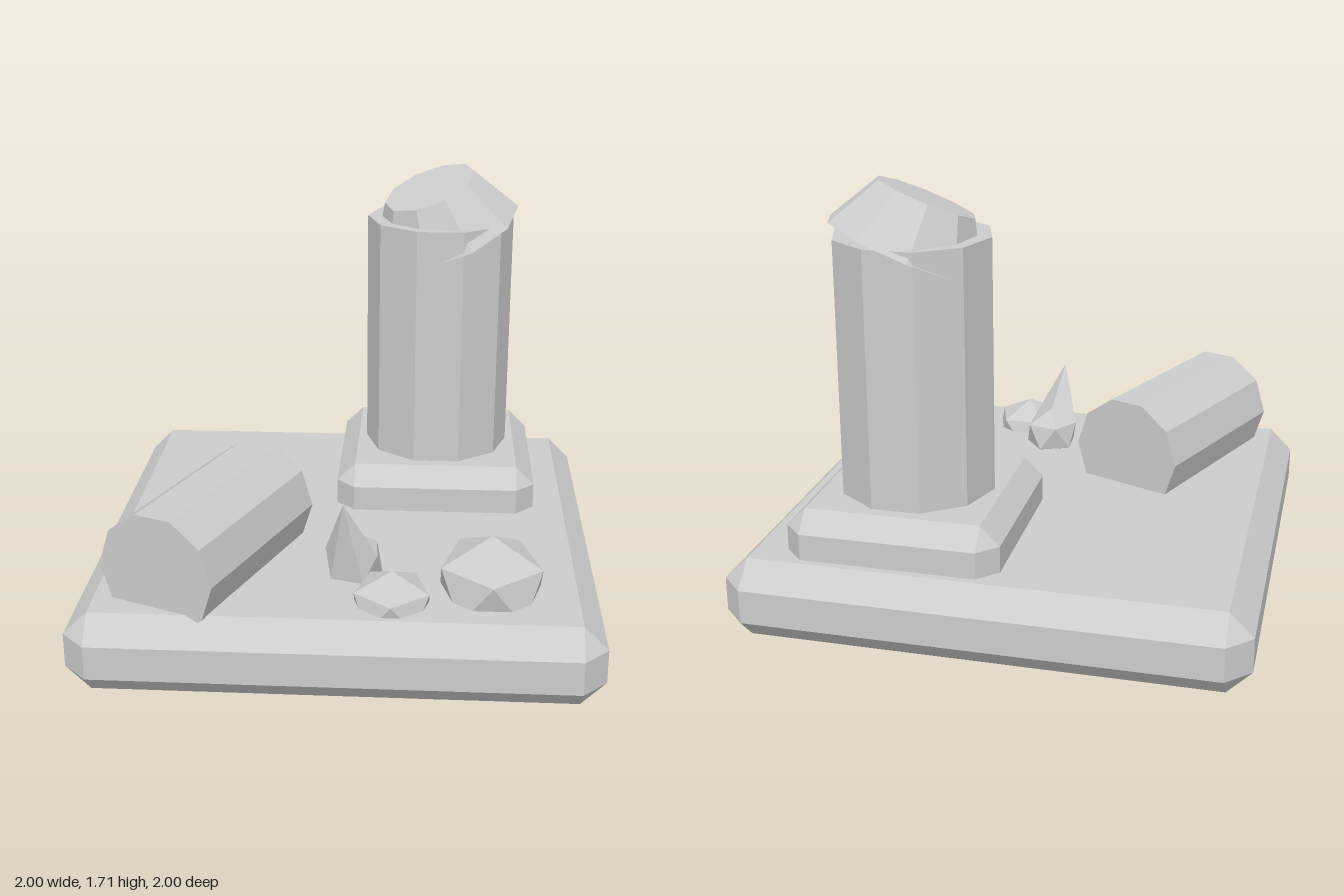
import * as THREE from 'three';
import { ConvexGeometry } from 'three/addons/geometries/ConvexGeometry.js';

const stone = new THREE.MeshStandardMaterial({ color: 0xcccccc, flatShading: true });
stone.name = 'stone';

function part(name, geometry, x, y, z) {
  const mesh = new THREE.Mesh(geometry, stone);
  mesh.name = name;
  mesh.position.set(x, y, z);
  return mesh;
}

// Box with every edge cut at 45 degrees
function chamferedBox(w, h, d, c) {
  const points = [];
  for (const sx of [-1, 1]) for (const sy of [-1, 1]) for (const sz of [-1, 1]) {
    for (let axis = 0; axis < 3; axis++) {
      const inset = [c, c, c];
      inset[axis] = 0;
      points.push(new THREE.Vector3(
        sx * (w / 2 - inset[0]), sy * (h / 2 - inset[1]), sz * (d / 2 - inset[2])));
    }
  }
  return new ConvexGeometry(points);
}

// Ten-sided drum with a corner pointing along +x
function drum(rTop, rBottom, height) {
  return new THREE.CylinderGeometry(rTop, rBottom, height, 10).rotateY(Math.PI / 2);
}

// Twenty-faced rock standing on a point; an optional peak replaces one shoulder corner
function rockGeometry(rx, h, rz, startDegrees, peak) {
  const points = [[0, h, 0]];
  for (let ring = 0; ring < 2; ring++) {
    for (let k = 0; k < 5; k++) {
      const a = THREE.MathUtils.degToRad(startDegrees + 72 * k + 36 * ring);
      points.push([rx * Math.cos(a), (ring ? -0.447 : 0.447) * h, rz * Math.sin(a)]);
    }
  }
  points.push([0, -h, 0]);
  if (peak) points[1] = peak;
  const index = [];
  for (let k = 0; k < 5; k++) {
    const n = (k + 1) % 5;
    index.push(0, 1 + n, 1 + k, 1 + k, 1 + n, 6 + k);
    index.push(6 + k, 1 + n, 6 + n, 11, 6 + k, 6 + n);
  }
  const g = new THREE.BufferGeometry();
  g.setAttribute('position', new THREE.Float32BufferAttribute(points.flat(), 3));
  g.setIndex(index);
  const flat = g.toNonIndexed();
  flat.computeVertexNormals();
  return flat;
}

export function createModel() {
  const model = new THREE.Group();
  model.name = 'ruinedColumn';

  // Floor slab and column foot
  model.add(part('baseSlab', chamferedBox(2, 0.32, 2, 0.093), 0, 0.16, 0));
  model.add(part('plinth', chamferedBox(0.835, 0.34, 0.835, 0.076), 0.365, 0.33, -0.46));

  // Standing column
  model.add(part('columnShaft', drum(0.307, 0.307, 1.05), 0.365, 0.975, -0.46));

  // Tilted broken capital, placed by the centre of its lower rim
  const cap = part('brokenCapital', drum(0.2, 0.32, 0.21).translate(0, 0.105, 0), 0.39, 1.437, -0.465);
  cap.quaternion.setFromUnitVectors(
    new THREE.Vector3(0, 1, 0), new THREE.Vector3(-0.383, 1, 0.2).normalize());
  model.add(cap);

  // Fallen column drum lying on the slab
  const fallen = new THREE.CylinderGeometry(0.24, 0.24, 0.8, 10)
    .rotateY(Math.PI / 2).rotateX(Math.PI / 2).rotateY(-Math.atan2(0.3, 0.74));
  model.add(part('fallenDrum', fallen, -0.505, 0.455, 0.49));

  // Rubble
  model.add(part('largeRock', rockGeometry(0.2, 0.19, 0.228, 90), 0.58, 0.34, 0.612));
  model.add(part('smallRock', rockGeometry(0.147, 0.127, 0.158, 90), 0.208, 0.31, 0.74));
  model.add(part('spikedShard',
    rockGeometry(0.11, 0.11, 0.115, 105, [-0.035, 0.285, 0.12]), 0.055, 0.37, 0.52));

  return model;
}
